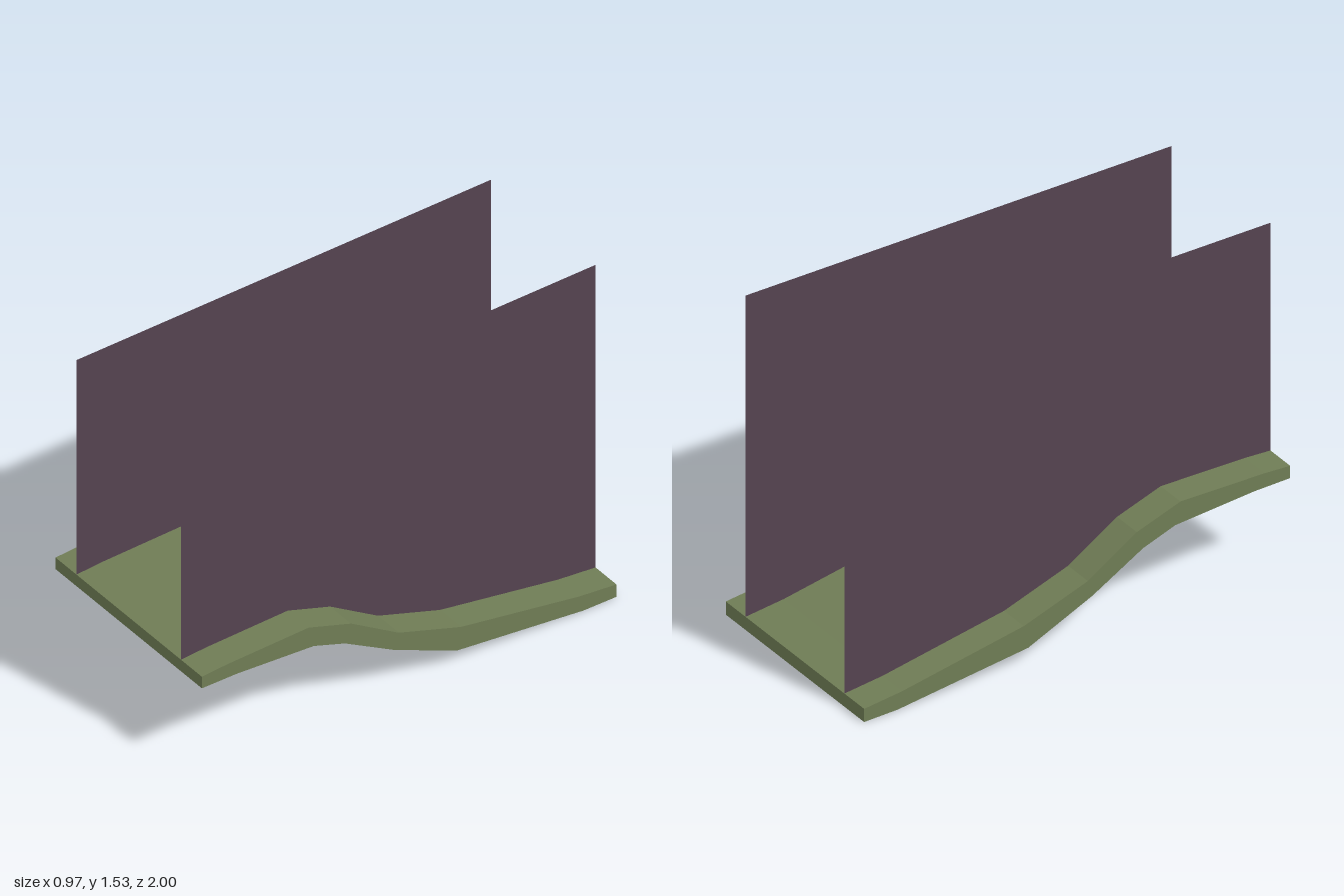
import * as THREE from 'three';

// Ground profile as [z, y], front to back
const TOP = [[1, 0.487], [0.88, 0.494], [0.485, 0.5], [0.28, 0.43], [0.05, 0.285], [-0.25, 0.182], [-0.82, 0.08], [-1, 0.06]];
const BOTTOM = [[1, 0.431], [0.83, 0.428], [0.46, 0.4], [0.31, 0.347], [0.07, 0.21], [-0.23, 0.076], [-0.8, 0.008], [-1, 0.002], [-0.84, 0]];
const HALF_WIDTH = 0.483;
const WALL_X = 0.345;
const WALL_TOP = 1.527;

// Side outline; local x runs towards the back
const outline = (points) => new THREE.Shape(points.map(([z, y]) => new THREE.Vector2(-z, y)));

export function createModel() {
  const model = new THREE.Group();
  const green = new THREE.MeshStandardMaterial({ color: 0x6f7c55, flatShading: true });
  green.name = 'mossGreen';
  const plum = new THREE.MeshStandardMaterial({ color: 0x554350, side: THREE.DoubleSide });
  plum.name = 'darkPlum';

  // Sloping slab
  const lower = BOTTOM.slice(0, 7).concat([[-0.84, 0.003], [-1, 0]]);
  const slabGeometry = new THREE.ExtrudeGeometry(outline([...lower, ...[...TOP].reverse()]), {
    depth: HALF_WIDTH * 2, bevelEnabled: false,
  });
  slabGeometry.rotateY(Math.PI / 2).translate(-HALF_WIDTH, 0, 0);
  const slab = new THREE.Mesh(slabGeometry, green);
  slab.name = 'slopingSlab';
  model.add(slab);

  // Paper-thin walls whose lower edge follows the slope
  const wallGeometry = new THREE.ShapeGeometry(outline([...TOP, [-1, WALL_TOP], [1, WALL_TOP]]));
  wallGeometry.rotateY(Math.PI / 2);
  for (const side of [-1, 1]) {
    const wall = new THREE.Mesh(wallGeometry, plum);
    wall.name = side > 0 ? 'leftWall' : 'rightWall';
    wall.position.x = side * WALL_X;
    model.add(wall);
  }
  return model;
}
